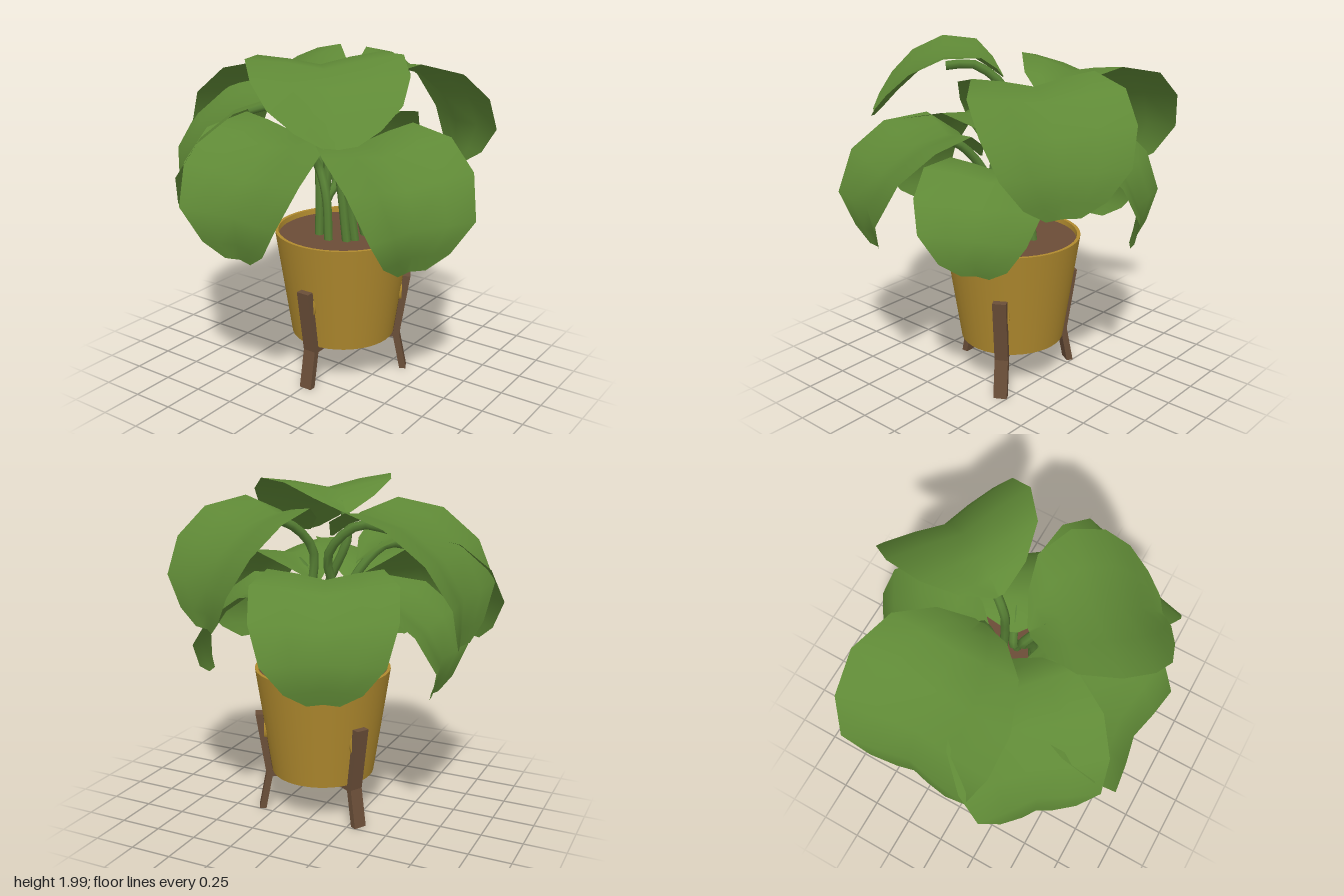
import * as THREE from 'three';

const mat = (name, color, side = THREE.FrontSide) => {
  const m = new THREE.MeshStandardMaterial({ color, side });
  m.name = name;
  return m;
};

// Leaves: angle from the front (degrees), base x and z, half width, midrib as [reach, height]
const LEAVES = [
  // upper ring
  [45, -0.07, 0.125, 0.42, [[0, 1.81], [0.2, 1.935], [0.46, 1.87], [0.75, 1.6]]],
  [149, 0.06, -0.125, 0.435, [[0, 1.74], [0.2, 1.85], [0.43, 1.77], [0.64, 1.52], [0.65, 1.25]]],
  [270, -0.11, -0.15, 0.46, [[0, 1.72], [0.2, 1.84], [0.52, 1.75], [0.76, 1.47], [0.76, 1.17]]],
  [313, -0.18, 0.04, 0.41, [[0, 1.55], [0.22, 1.69], [0.49, 1.58], [0.71, 1.33], [0.73, 1.05]]],
  // lower ring
  [359, -0.09, 0.12, 0.41, [[0, 1.42], [0.22, 1.56], [0.48, 1.46], [0.7, 1.2], [0.66, 0.93]]],
  [67, 0.13, 0.13, 0.41, [[0, 1.38], [0.2, 1.53], [0.47, 1.45], [0.69, 1.22], [0.64, 0.92]]],
  [113, 0.1, -0.06, 0.37, [[0, 1.23], [0.2, 1.37], [0.42, 1.29], [0.58, 1.08], [0.56, 0.89]]],
  [204, -0.055, -0.12, 0.4, [[0, 1.38], [0.2, 1.5], [0.45, 1.41], [0.62, 1.17], [0.58, 0.91]]],
  [272, -0.12, -0.1, 0.38, [[0, 1.27], [0.2, 1.39], [0.46, 1.3], [0.63, 1.08], [0.57, 0.85]]],
];

// Blade outline: [position along the midrib, share of the half width]
const OUTLINE = [[0, 0.06], [0.1, 0.45], [0.22, 0.8], [0.4, 1], [0.6, 0.98], [0.78, 0.82], [0.92, 0.52], [1, 0.22]];
const ACROSS = [-1, -0.5, 0, 0.5, 1];

// Blade swept along its midrib, folded into a shallow V with drooping margins
function bladeGeometry(midrib, halfWidth) {
  const curve = new THREE.CatmullRomCurve3(midrib.map(([r, y]) => new THREE.Vector3(0, y, r)));
  const pos = [], index = [], n = ACROSS.length;
  OUTLINE.forEach(([t, share], i) => {
    const p = curve.getPointAt(t), d = curve.getTangentAt(t);
    ACROSS.forEach((s, j) => {
      const x = s * share * halfWidth;
      const lift = 0.26 * Math.abs(x) - 0.22 * x * x;
      pos.push(x, p.y + d.z * lift, p.z - d.y * lift);
      if (i < OUTLINE.length - 1 && j < n - 1) {
        const a = i * n + j, b = a + n;
        index.push(a, b, a + 1, a + 1, b, b + 1);
      }
    });
  });
  const g = new THREE.BufferGeometry();
  g.setAttribute('position', new THREE.Float32BufferAttribute(pos, 3));
  g.setIndex(index);
  g.computeVertexNormals();
  return g;
}

export function createModel() {
  const model = new THREE.Group();
  model.name = 'pottedPlant';
  const leafGreen = mat('leafGreen', 0x5f8936, THREE.DoubleSide);
  const stemGreen = mat('stemGreen', 0x567f34);
  const gold = mat('potGold', 0xb08a2e, THREE.DoubleSide);
  const wood = mat('woodBrown', 0x6a4e38);
  const soilBrown = mat('soilBrown', 0x6b4c37);

  const add = (parent, name, geometry, material, x = 0, y = 0, z = 0) => {
    const m = new THREE.Mesh(geometry, material);
    m.name = name;
    m.position.set(x, y, z);
    parent.add(m);
    return m;
  };

  // Pot with thin rim, soil and underside
  const planter = new THREE.Group();
  planter.name = 'planter';
  planter.position.set(0.017, 0, -0.02);
  model.add(planter);
  add(planter, 'potWall', new THREE.CylinderGeometry(0.408, 0.312, 0.655, 40, 1, true), gold, 0, 0.5775, 0);
  add(planter, 'potInnerWall', new THREE.CylinderGeometry(0.388, 0.383, 0.035, 40, 1, true), gold, 0, 0.8875, 0);
  add(planter, 'potRim', new THREE.RingGeometry(0.388, 0.408, 40).rotateX(-Math.PI / 2), gold, 0, 0.905, 0);
  add(planter, 'soil', new THREE.CircleGeometry(0.385, 40).rotateX(-Math.PI / 2), soilBrown, 0, 0.875, 0);
  add(planter, 'potUnderside', new THREE.CircleGeometry(0.312, 40).rotateX(Math.PI / 2), soilBrown, 0, 0.25, 0);

  // Three bent legs joined by bars under the pot
  const profile = [[0.355, 0], [0.395, 0], [0.35, 0.23], [0.41, 0.62], [0.365, 0.62], [0.31, 0.23]];
  const legGeometry = new THREE.ExtrudeGeometry(
    new THREE.Shape(profile.map(([x, y]) => new THREE.Vector2(x, y))),
    { depth: 0.08, bevelEnabled: false }).translate(0, 0, -0.04);
  for (const angle of [-90, 30, 150]) {
    const support = new THREE.Group();
    support.name = 'standSupport';
    support.rotation.y = THREE.MathUtils.degToRad(angle);
    planter.add(support);
    add(support, 'leg', legGeometry, wood);
    add(support, 'crossBar', new THREE.BoxGeometry(0.33, 0.04, 0.06), wood, 0.165, 0.229, 0);
    const boss = add(support, 'legMount', new THREE.CylinderGeometry(1, 1, 1, 16).rotateZ(Math.PI / 2), gold, 0.352, 0.52, 0);
    boss.scale.set(0.016, 0.075, 0.052);
  }

  // Leaves and their arching stems
  for (const [degrees, bx, bz, halfWidth, midrib] of LEAVES) {
    const a = THREE.MathUtils.degToRad(degrees);
    const sin = Math.sin(a), cos = Math.cos(a);
    const blade = add(model, 'leafBlade', bladeGeometry(midrib, halfWidth), leafGreen, bx, 0, bz);
    blade.rotation.y = a;

    const under = (r, y) => new THREE.Vector3(bx + sin * r, y, bz + cos * r);
    const [base, crest, mid] = midrib;
    const path = new THREE.CatmullRomCurve3([
      new THREE.Vector3(0.02 + 0.14 * sin, 0.86, 0.14 * cos - 0.01),
      new THREE.Vector3(0.01 + 0.08 * sin + bx * 0.25, (0.86 + base[1]) / 2, 0.08 * cos + bz * 0.25),
      under(-0.03, base[1] - 0.11),
      under(crest[0] * 0.8, crest[1] - 0.05),
      under((crest[0] + mid[0]) / 2, (crest[1] + mid[1]) / 2 - 0.02),
    ]);
    add(model, 'stem', new THREE.TubeGeometry(path, 16, 0.027, 7), stemGreen);
  }
  return model;
}
